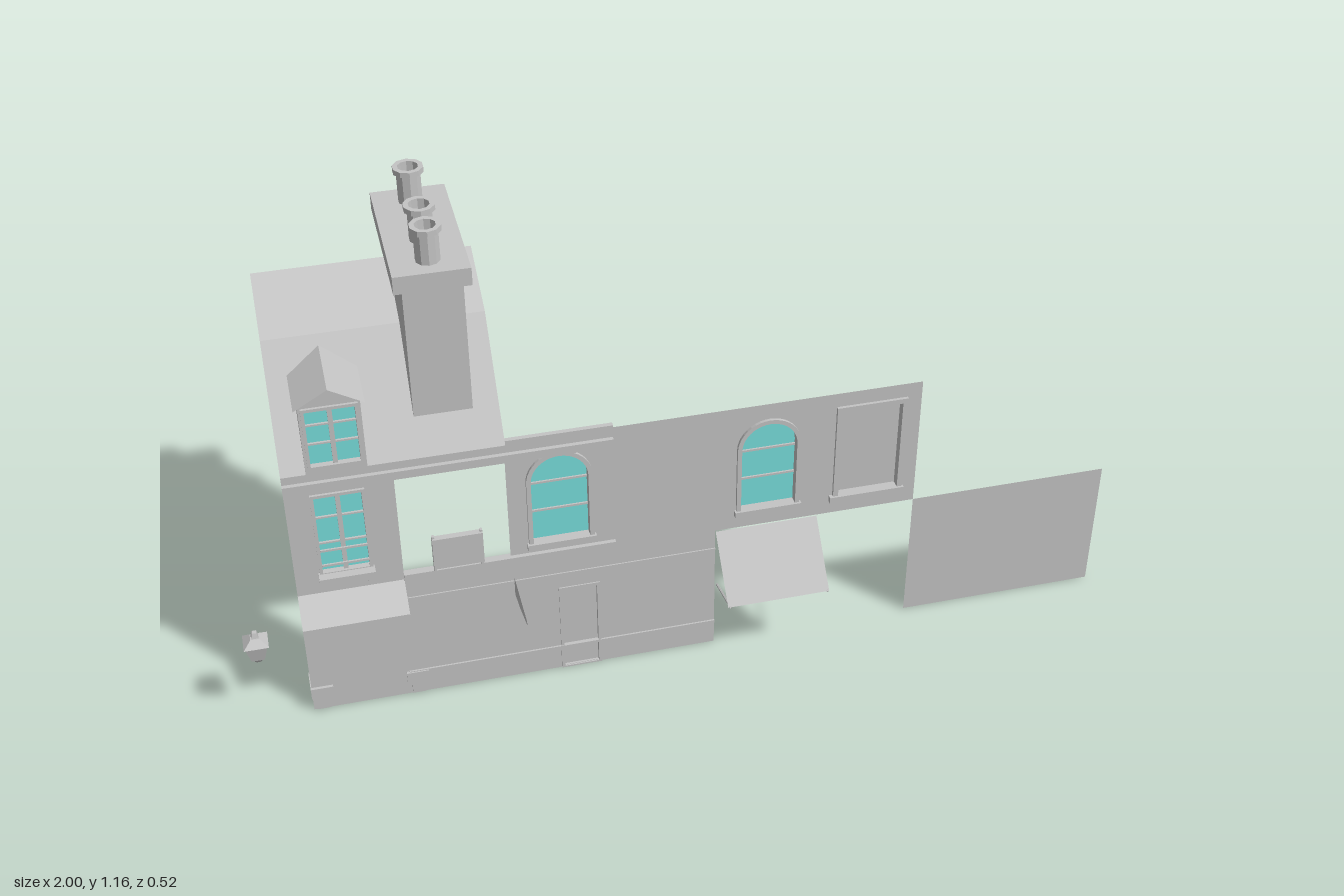
import * as THREE from 'three';

export function createModel() {
  const model = new THREE.Group();
  const stone = new THREE.MeshStandardMaterial({ color: 0xc4c4c4, side: THREE.DoubleSide, flatShading: true });
  stone.name = 'stone grey';
  const glass = new THREE.MeshStandardMaterial({ color: 0x78dedc, side: THREE.DoubleSide });
  glass.name = 'window cyan';
  const Z = 0.108; // plane of the facade

  const add = (name, geo, mat = stone, parent = model) => {
    const m = new THREE.Mesh(geo, mat);
    m.name = name;
    parent.add(m);
    return m;
  };
  const box = (name, x0, x1, y0, y1, z0, z1, mat = stone, parent = model) => {
    const m = add(name, new THREE.BoxGeometry(x1 - x0, y1 - y0, z1 - z0), mat, parent);
    m.position.set((x0 + x1) / 2, (y0 + y1) / 2, (z0 + z1) / 2);
    return m;
  };
  const poly = pts => new THREE.Shape(pts.map(p => new THREE.Vector2(...p)));
  const rect = (x0, x1, y0, y1) => poly([[x0, y0], [x1, y0], [x1, y1], [x0, y1]]);
  const arch = (x0, x1, y0, y1) => {
    const r = (x1 - x0) / 2, s = new THREE.Shape();
    s.moveTo(x0, y0).lineTo(x1, y0).lineTo(x1, y1 - r);
    s.absarc((x0 + x1) / 2, y1 - r, r, 0, Math.PI, false);
    return s;
  };
  // Ruled sheet through pairs of points
  const sheet = (name, rows, parent = model) => {
    const pos = [];
    for (let i = 0; i + 1 < rows.length; i++) {
      const [a, b] = rows[i], [c, d] = rows[i + 1];
      pos.push(...a, ...b, ...d, ...a, ...d, ...c);
    }
    const g = new THREE.BufferGeometry();
    g.setAttribute('position', new THREE.Float32BufferAttribute(pos, 3));
    g.computeVertexNormals();
    return add(name, g, stone, parent);
  };
  const ring = (outer, inner, z0, z1, name, parent) => {
    outer.holes.push(inner);
    const m = add(name, new THREE.ExtrudeGeometry(outer, { depth: z1 - z0, bevelEnabled: false, curveSegments: 10 }), stone, parent);
    m.position.z = z0;
  };

  // Facade: one outline with the balcony and window openings cut out
  const wall = poly([[-0.87, 0], [0.06, 0], [0.06, 0.33], [0.53, 0.33], [0.53, 0.657],
    [-0.17, 0.657], [-0.17, 0.667], [-0.87, 0.667]]);
  const holes = [
    rect(-0.64, -0.405, 0.345, 0.615), rect(-0.81, -0.71, 0.385, 0.59), rect(0.34, 0.49, 0.38, 0.615),
    arch(-0.355, -0.225, 0.38, 0.61), arch(0.115, 0.245, 0.38, 0.61), rect(-0.3, -0.21, 0.005, 0.235),
  ];
  wall.holes.push(...holes);
  add('facadeWall', new THREE.ShapeGeometry(wall, 10)).position.z = Z;
  add('sidePanel', new THREE.ShapeGeometry(rect(0.53, 1, 0, 0.33))).position.z = Z;

  // Arched windows
  for (const cx of [-0.29, 0.18]) {
    const w = new THREE.Group();
    w.name = 'archedWindow';
    model.add(w);
    ring(arch(cx - 0.073, cx + 0.073, 0.375, 0.618), arch(cx - 0.063, cx + 0.063, 0.38, 0.608), 0.092, 0.115, 'archFrame', w);
    add('archGlass', new THREE.ShapeGeometry(arch(cx - 0.064, cx + 0.064, 0.38, 0.609), 10), glass, w).position.z = 0.095;
    box('windowBacking', cx - 0.06, cx + 0.06, 0.38, 0.61, 0.08, 0.086, stone, w);
    for (const y of [0.455, 0.53]) box('glazingBar', cx - 0.063, cx + 0.063, y, y + 0.005, 0.095, 0.099, stone, w);
    box('windowSill', cx - 0.077, cx + 0.077, 0.366, 0.38, 0.088, 0.12, stone, w);
  }

  // Two-leaf rectangular windows: one in the wall, one in the dormer
  const casement = (x0, x1, y0, y1, z, name) => {
    const w = new THREE.Group();
    w.name = name;
    model.add(w);
    ring(rect(x0 - 0.007, x1 + 0.007, y0 - 0.007, y1 + 0.007), rect(x0, x1, y0, y1), z - 0.015, z + 0.006, 'windowFrame', w);
    add('windowGlass', new THREE.ShapeGeometry(rect(x0, x1, y0, y1)), glass, w).position.z = z - 0.008;
    const cx = (x0 + x1) / 2, h = y1 - y0;
    box('mullion', cx - 0.005, cx + 0.005, y0, y1, z - 0.008, z, stone, w);
    for (const t of [0.36, 0.7]) box('glazingBar', x0, x1, y0 + t * h, y0 + t * h + 0.004, z - 0.008, z - 0.003, stone, w);
    return w;
  };
  const lower = casement(-0.81, -0.71, 0.39, 0.59, Z, 'wallWindow');
  box('windowBacking', -0.815, -0.705, 0.38, 0.6, 0.08, 0.086, stone, lower);
  box('windowSill', -0.82, -0.7, 0.375, 0.388, 0.088, 0.134, stone, lower);
  for (const x of [-0.81, -0.717]) box('sillBracket', x, x + 0.007, 0.362, 0.375, 0.108, 0.128, stone, lower);
  for (const y of [0.41, 0.45]) box('windowRail', -0.81, -0.71, y, y + 0.005, 0.114, 0.118, stone, lower);

  // Blind window
  ring(rect(0.333, 0.497, 0.375, 0.622), rect(0.345, 0.485, 0.38, 0.61), 0.085, 0.115, 'blindWindowFrame');
  box('blindWindowPanel', 0.338, 0.492, 0.38, 0.615, 0.085, 0.095);
  box('blindWindowSill', 0.325, 0.5, 0.364, 0.38, 0.083, 0.12);

  // Door, set back into the wall
  ring(rect(-0.302, -0.208, 0, 0.238), rect(-0.295, -0.215, 0.004, 0.23), 0.098, 0.111, 'doorFrame');
  box('door', -0.3, -0.21, 0.004, 0.235, 0.098, 0.102);

  // Mouldings
  box('cornice', -0.87, -0.17, 0.612, 0.632, 0.1, 0.118);
  box('eavesMoulding', -0.87, -0.405, 0.66, 0.672, 0.1, 0.13);
  box('topMoulding', -0.405, -0.17, 0.66, 0.667, 0.104, 0.115);
  box('balconyLedge', -0.64, -0.17, 0.334, 0.352, 0.1, 0.118);
  box('shopBand', -0.64, 0.06, 0.277, 0.281, 0.104, 0.111);
  box('plinthBand', -0.65, 0.06, 0.06, 0.067, 0.103, 0.112);

  // Planter on the balcony ledge
  box('balconyBox', -0.575, -0.465, 0.365, 0.445, 0.115, 0.13);
  for (const x of [-0.575, -0.471]) box('balconyPost', x, x + 0.006, 0.352, 0.45, 0.117, 0.125);

  // Pilaster feet
  for (const x of [-0.872, -0.657]) {
    box('footingTop', x, x + 0.05, 0.037, 0.065, 0.056, 0.115);
    box('footingBase', x + 0.01, x + 0.04, 0.005, 0.037, 0.084, 0.115);
  }

  // Awnings, stays and hanging bracket plate
  sheet('leftAwning', [[[-0.87, 0.29, 0.175], [-0.64, 0.29, 0.175]], [[-0.87, 0.335, 0.11], [-0.64, 0.335, 0.11]]]);
  sheet('rightAwning', [[[0.06, 0.2, 0.225], [0.297, 0.2, 0.225]], [[0.06, 0.33, 0.112], [0.297, 0.33, 0.112]]]);
  for (const x of [0.066, 0.293]) {
    const stay = new THREE.LineCurve3(new THREE.Vector3(x, 0.2, 0.225), new THREE.Vector3(x, 0.172, 0.108));
    add('awningStay', new THREE.TubeGeometry(stay, 1, 0.003, 5));
  }
  const plate = add('bracketPlate', new THREE.ShapeGeometry(
    poly([[0.262, 0.29], [0.107, 0.29], [0.107, 0.24], [0.165, 0.25], [0.262, 0.28]])));
  plate.rotation.y = -Math.PI / 2;
  plate.position.x = -0.4;

  // Mansard roof, an open sheet
  sheet('mansardRoof', [[0.67, 0.134], [0.893, -0.043], [0.963, -0.198]]
    .map(([y, z]) => [[-0.87, y, z], [-0.405, y, z]]));

  // Dormer
  const xl = -0.818, xr = -0.692, xm = -0.755;
  const front = poly([[xl, 0.67], [xr, 0.67], [xr, 0.835], [xm, 0.87], [xl, 0.835]]);
  front.holes.push(rect(-0.808, -0.702, 0.69, 0.828));
  add('dormerFront', new THREE.ShapeGeometry(front)).position.z = 0.134;
  casement(-0.806, -0.704, 0.69, 0.826, 0.134, 'dormerWindow');
  for (const x of [xl, xr]) {
    sheet('dormerCheek', [[[x, 0.67, 0.134], [x, 0.67, -0.015]], [[x, 0.835, 0.134], [x, 0.835, -0.015]]]);
  }
  for (const s of [-1, 1]) {
    sheet('dormerRoof', [[[xm + s * 0.072, 0.832, 0.14], [xm + s * 0.072, 0.832, 0.005]],
      [[xm, 0.874, 0.14], [xm, 0.874, -0.028]]]);
  }

  // Chimney with three pots
  box('chimneyStack', -0.584, -0.46, 0.67, 1.045, -0.24, 0.08);
  box('chimneyCap', -0.602, -0.444, 1.045, 1.085, -0.26, 0.096);
  const potProfile = [[0.026, 0], [0.026, 0.066], [0.033, 0.068], [0.033, 0.08], [0.022, 0.08], [0.022, 0.05], [0, 0.05]]
    .map(p => new THREE.Vector2(...p));
  for (const z of [0.042, -0.043, -0.207]) {
    add('chimneyPot', new THREE.LatheGeometry(potProfile, 10)).position.set(-0.523, 1.085, z);
  }

  // Lantern: stacked four-sided tapers given as bottom and top half-widths
  const lantern = new THREE.Group();
  lantern.name = 'lantern';
  lantern.position.set(-0.973, 0, 0.11);
  model.add(lantern);
  const tapers = [['finial', 0.008, 0.005, 0.243, 0.256], ['lanternRoof', 0.027, 0.01, 0.228, 0.243],
    ['lanternBody', 0.014, 0.024, 0.185, 0.228], ['lanternFoot', 0.004, 0.012, 0.172, 0.185]];
  for (const [name, b, t, y0, y1] of tapers) {
    const g = new THREE.CylinderGeometry(t * Math.SQRT2, b * Math.SQRT2, y1 - y0, 4).rotateY(Math.PI / 4);
    add(name, g, stone, lantern).position.y = (y0 + y1) / 2;
  }
  return model;
}
